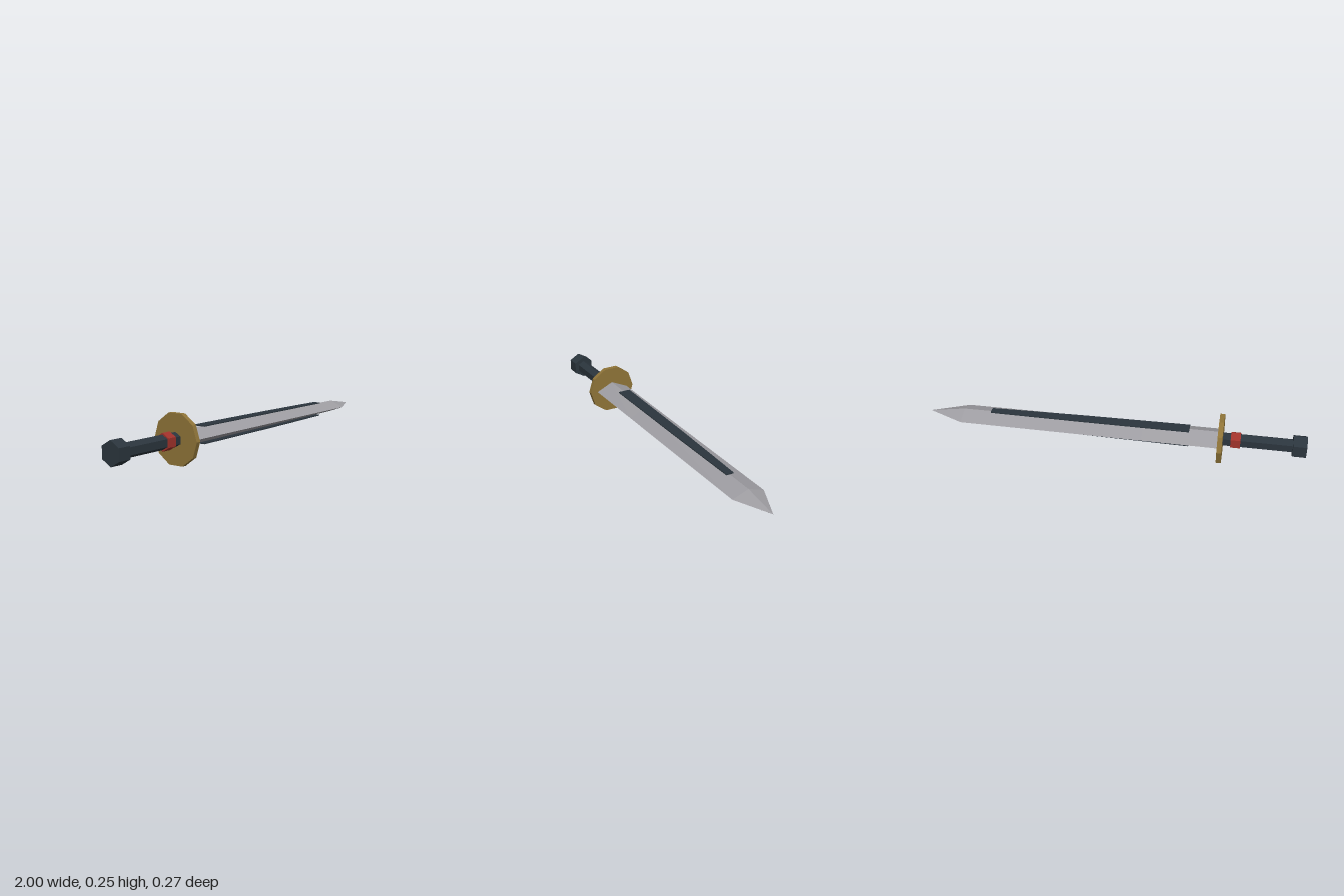
import * as THREE from 'three';

const flat = (name, color) => {
  const m = new THREE.MeshStandardMaterial({ color });
  m.name = name;
  m.flatShading = true;
  return m;
};

// Joins cross-sections [x, [[z, y], ...]] listed counter-clockwise as seen from +x
function loft(sections) {
  const pos = [];
  const rings = sections.map(([x, pts]) => pts.map(([z, y]) => [x, y, z]));
  const tri = (a, b, c) => pos.push(...a, ...b, ...c);
  const n = rings[0].length;
  for (let s = 0; s < rings.length - 1; s++) {
    const A = rings[s], B = rings[s + 1];
    for (let i = 0; i < n; i++) {
      const j = (i + 1) % n;
      tri(A[i], A[j], B[j]);
      tri(A[i], B[j], B[i]);
    }
  }
  const first = rings[0], last = rings[rings.length - 1];
  for (let i = 1; i < n - 1; i++) {
    tri(first[0], first[i + 1], first[i]);
    tri(last[0], last[i], last[i + 1]);
  }
  const g = new THREE.BufferGeometry();
  g.setAttribute('position', new THREE.Float32BufferAttribute(pos, 3));
  g.computeVertexNormals();
  return g;
}

// Prism lying along x from x0 to x1; start turns its corners
function prism(radius, sides, x0, x1, start) {
  const g = new THREE.CylinderGeometry(radius, radius, x1 - x0, sides, 1, false, start);
  return g.rotateZ(-Math.PI / 2).translate((x0 + x1) / 2, 0, 0);
}

export function createModel() {
  const steel = flat('steel', 0x9e9da2);
  const dark = flat('dark grip', 0x2b353d);
  const brass = flat('brass', 0x8f7438);
  const red = flat('red', 0xa0322b);

  const model = new THREE.Group();
  model.name = 'sword';
  const sword = new THREE.Group();
  sword.name = 'swordParts';
  sword.position.y = 0.127;
  model.add(sword);
  const add = (name, geometry, material) => {
    const mesh = new THREE.Mesh(geometry, material);
    mesh.name = name;
    sword.add(mesh);
    return mesh;
  };

  // Hexagonal hilt parts, corners up and down
  add('pommel', prism(0.061, 6, -1, -0.93, Math.PI / 2), dark);
  add('grip', prism(0.037, 6, -0.935, -0.57, Math.PI / 2), dark);
  add('collar', prism(0.045, 6, -0.665, -0.615, Math.PI / 2), red);

  // Ten-sided guard disc
  add('guard', prism(0.133, 10, -0.575, -0.55, 0), brass);

  // Diamond-section blade: x, half width, half thickness
  const blade = [
    [-0.56, 0.092, 0.042], [-0.16, 0.09, 0.039], [0.81, 0.087, 0.031], [1, 0.0005, 0.0005],
  ].map(([x, w, h]) => [x, [[-w, 0], [0, h], [w, 0], [0, -h]]]);
  add('blade', loft(blade), steel);

  // Thin tapering strips along both ridges: x, half width, outer height
  const strip = loft([
    [-0.4, 0.033, 0.046], [0.17, 0.029, 0.0425], [0.46, 0.024, 0.04], [0.66, 0.02, 0.038],
  ].map(([x, w, h]) => [x, [[-w, h - 0.005], [-w, h], [w, h], [w, h - 0.005]]]));
  add('upperStrip', strip, dark);
  add('lowerStrip', strip, dark).rotation.x = Math.PI;

  return model;
}
